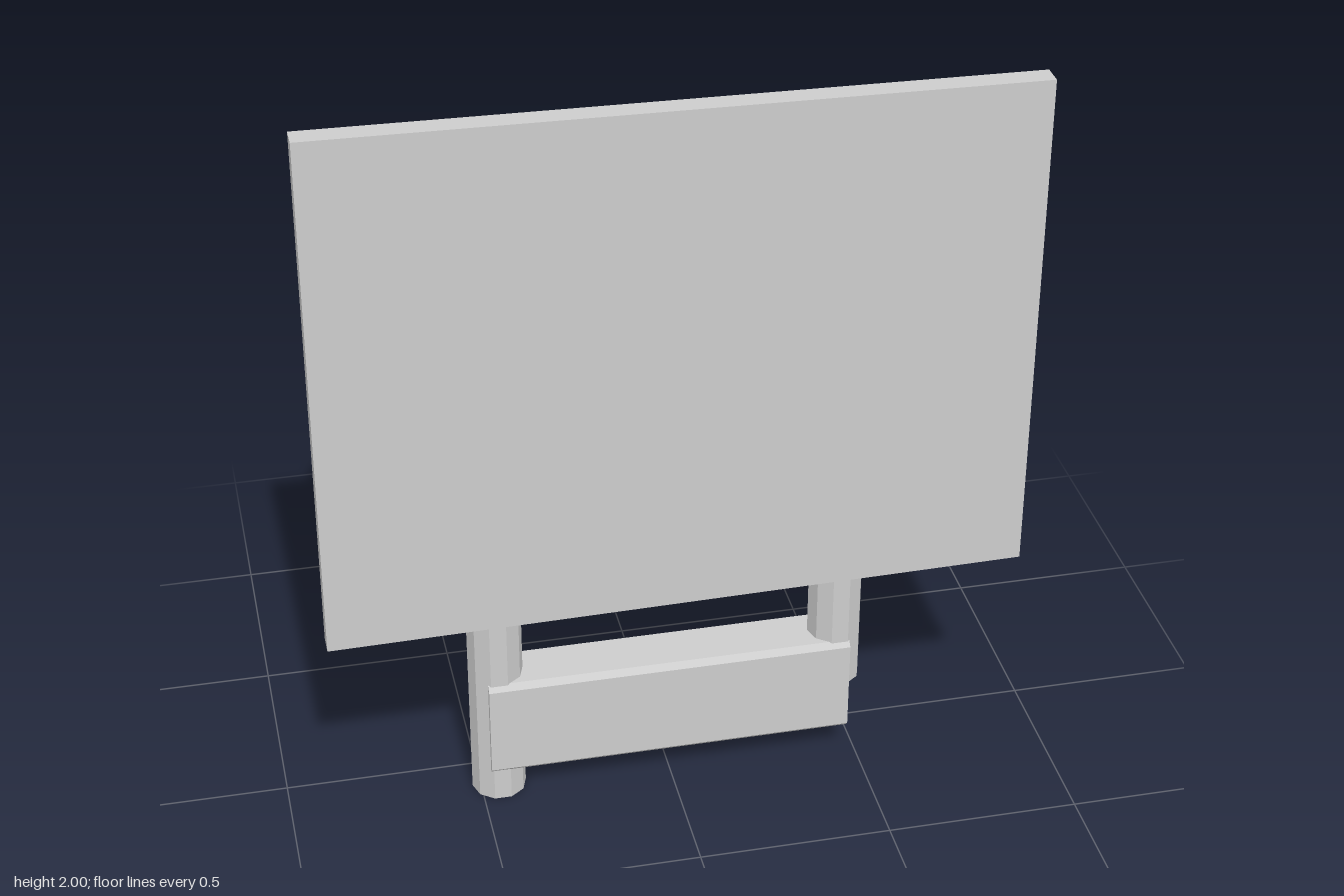
import * as THREE from 'three';

const grey = new THREE.MeshStandardMaterial({ color: 0xcccccc, flatShading: true });
grey.name = 'plain grey';

// Points of a ten-sided arc; start and count are in steps of 36 degrees
function arcPoints(r, start, count) {
  const pts = [];
  for (let i = 0; i <= count; i++) {
    const a = (start + i) * Math.PI / 5;
    pts.push(new THREE.Vector2(r * Math.cos(a), r * Math.sin(a)));
  }
  return pts;
}

// Ring, or part of one, from an outer and an inner arc
function ringShape(outer, inner, start = 0, count = 10) {
  if (count === 10) {
    const shape = new THREE.Shape(arcPoints(outer, 0, 9));
    shape.holes.push(new THREE.Path(arcPoints(inner, 0, 9)));
    return shape;
  }
  return new THREE.Shape([
    ...arcPoints(outer, start, count),
    ...arcPoints(inner, start, count).reverse(),
  ]);
}

// Extrude along z from 0 to depth, scaling the cross-section towards the front
function taperedExtrude(shape, depth, frontScale = 1) {
  const geo = new THREE.ExtrudeGeometry(shape, { depth, bevelEnabled: false });
  const p = geo.attributes.position;
  for (let i = 0; i < p.count; i++) {
    const s = 1 + (frontScale - 1) * p.getZ(i) / depth;
    p.setXY(i, p.getX(i) * s, p.getY(i) * s);
  }
  geo.computeVertexNormals();
  return geo;
}

export function createModel() {
  const model = new THREE.Group();
  const add = (name, geo, x = 0, y = 0, z = 0) => {
    const mesh = new THREE.Mesh(geo, grey);
    mesh.name = name;
    mesh.position.set(x, y, z);
    model.add(mesh);
    return mesh;
  };

  // Large front board, slightly taller on one side
  const board = new THREE.Shape([
    new THREE.Vector2(-0.888, 0.613), new THREE.Vector2(0.885, 0.638),
    new THREE.Vector2(0.885, 1.976), new THREE.Vector2(-0.888, 2.0),
  ]);
  add('frontBoard', taperedExtrude(board, 0.057), 0, 0, 0.202);

  // Full ring and open ring, both wider at the back
  add('fullRing', taperedExtrude(ringShape(0.372, 0.308), 0.327, 0.947), -0.453, 1.4, -0.187);
  add('openRing', taperedExtrude(ringShape(0.372, 0.308, 4, 6), 0.327, 0.947), 0.447, 1.4, -0.187);

  // Dial plate floating behind the full ring, with its pointer
  const dial = new THREE.Shape(arcPoints(0.28, 0, 9));
  add('dialPlate', taperedExtrude(dial, 0.027, 0.94), -0.453, 1.4, -0.228);
  const pointer = add('dialPointer', new THREE.BoxGeometry(0.236, 0.024, 0.017), -0.381, 1.485, -0.253);
  pointer.rotation.z = Math.atan2(0.175, 0.15);

  // Two hollow posts of different length
  for (const [name, x, bottom] of [['rightPost', -0.451, 0], ['leftPost', 0.447, 0.226]]) {
    const post = add(name, taperedExtrude(ringShape(0.071, 0.056), 0.81 - bottom), x, bottom, 0.091);
    post.rotation.x = -Math.PI / 2;
  }

  // Crossbar with chamfered long edges
  const c = 0.015, w = 0.08, h = 0.139;
  const section = new THREE.Shape([
    [-w + c, -h], [w - c, -h], [w, -h + c], [w, h - c],
    [w - c, h], [-w + c, h], [-w, h - c], [-w, -h + c],
  ].map(([x, y]) => new THREE.Vector2(x, y)));
  const bar = add('crossbar', taperedExtrude(section, 0.953), -0.48, 0.227, 0.09);
  bar.rotation.y = Math.PI / 2;

  return model;
}
